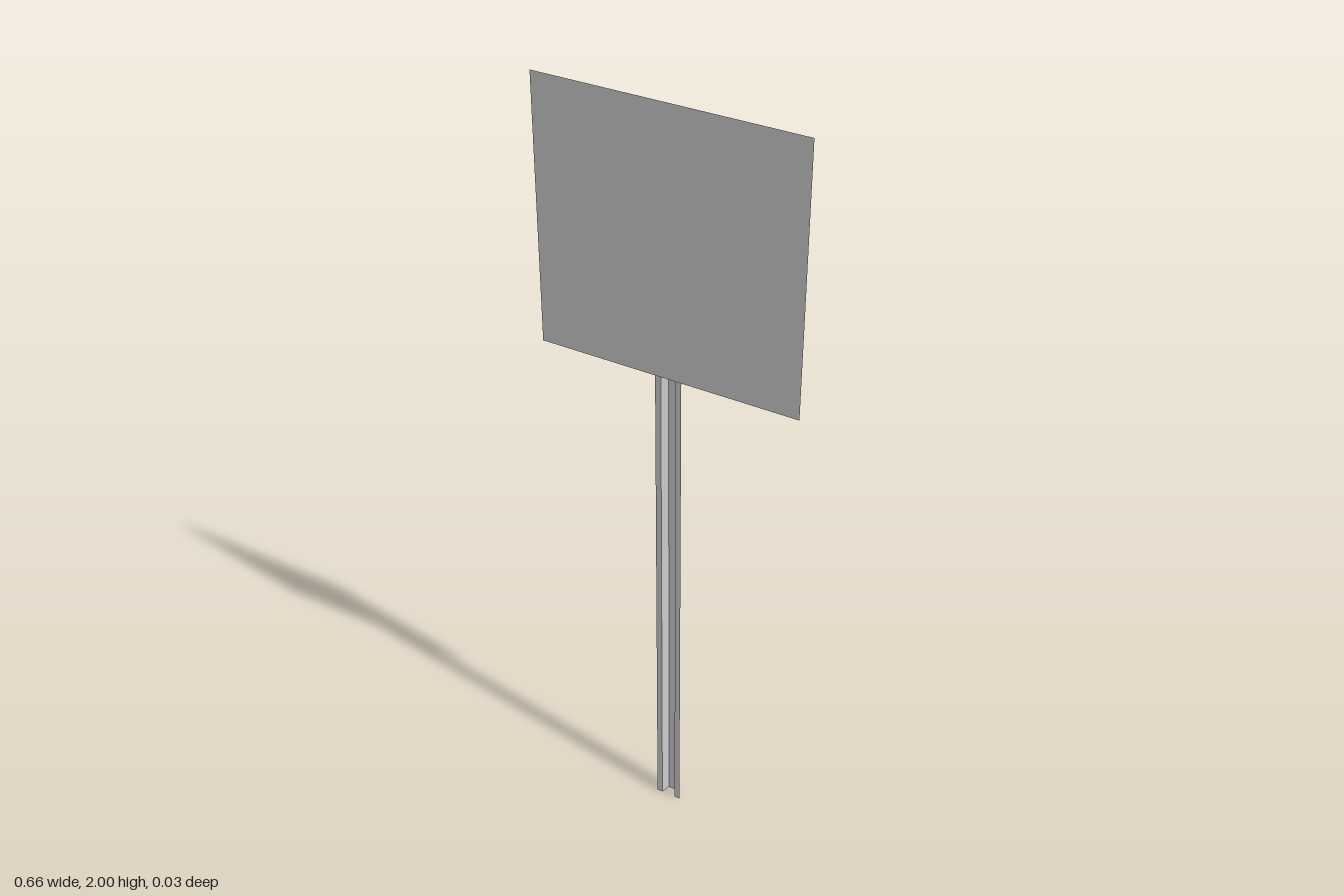
import * as THREE from 'three';

const POST_HEIGHT = 1.738;
const PANEL_SIZE = 0.664;

// Extrudes an open [x, z] profile straight up as a thin folded sheet
function foldedSheet(profile, height) {
  const positions = [];
  for (let i = 0; i < profile.length - 1; i++) {
    const [x0, z0] = profile[i];
    const [x1, z1] = profile[i + 1];
    positions.push(x0, 0, z0, x1, 0, z1, x1, height, z1);
    positions.push(x0, 0, z0, x1, height, z1, x0, height, z0);
  }
  const geometry = new THREE.BufferGeometry();
  geometry.setAttribute('position', new THREE.Float32BufferAttribute(positions, 3));
  geometry.computeVertexNormals();
  return geometry;
}

export function createModel() {
  const model = new THREE.Group();
  model.name = 'signPost';
  const material = new THREE.MeshStandardMaterial({ color: 0xcccccc, side: THREE.DoubleSide });

  // Hat-section post: side flanges in front, channel folded to the back
  const half = [[0.034, 0.009], [0.019, 0.009], [0.0125, -0.015]];
  const mirrored = half.map(([x, z]) => [-x, z]);
  const post = new THREE.Mesh(foldedSheet([...mirrored, ...half.reverse()], POST_HEIGHT), material);
  post.name = 'post';
  model.add(post);

  // Square sheet panel just in front of the flanges
  const panel = new THREE.Mesh(new THREE.PlaneGeometry(PANEL_SIZE, PANEL_SIZE), material);
  panel.name = 'signPanel';
  panel.position.set(0, 2 - PANEL_SIZE / 2, 0.014);
  model.add(panel);

  return model;
}
